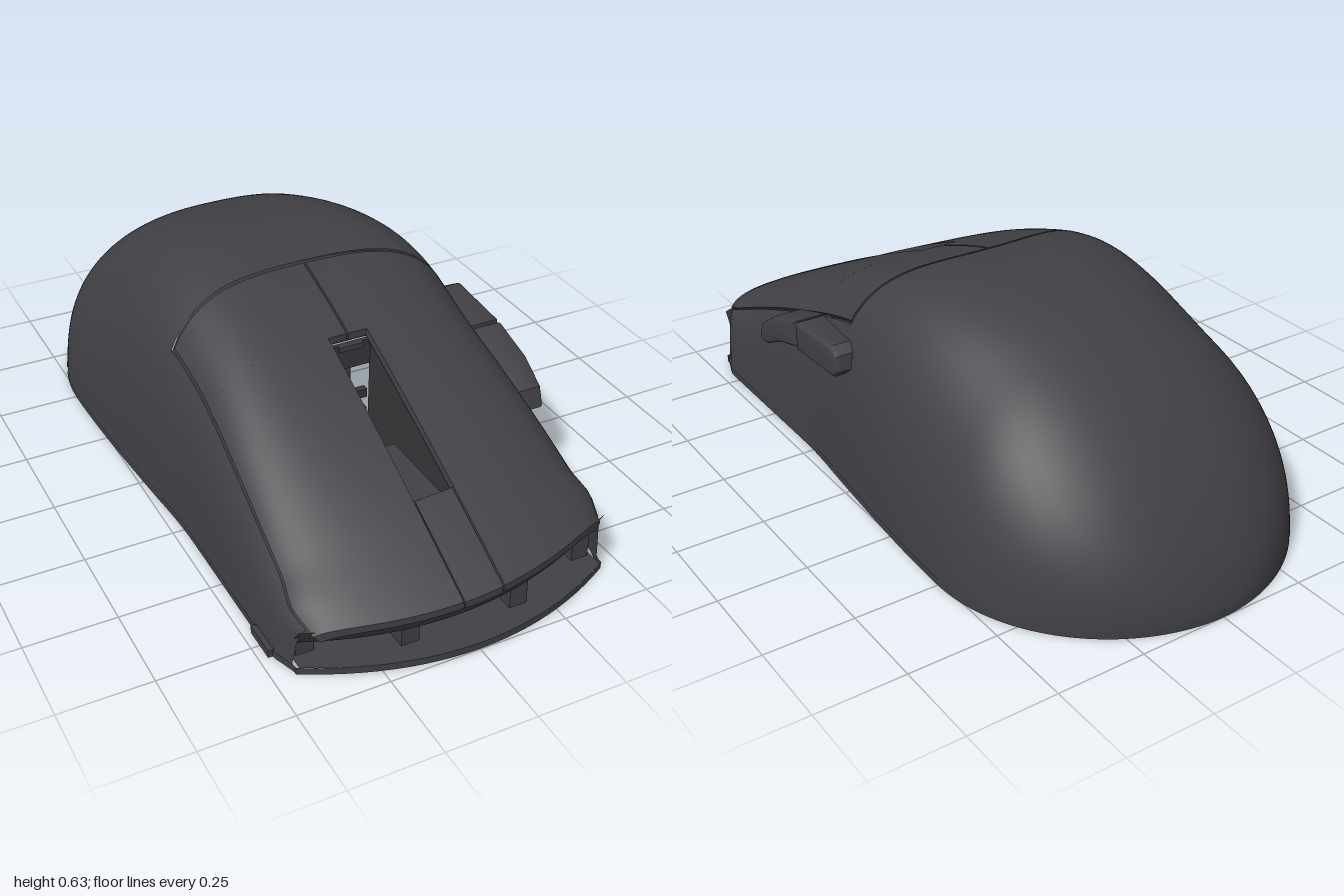
import * as THREE from 'three';
import { toCreasedNormals } from 'three/addons/utils/BufferGeometryUtils.js';

const { lerp, smoothstep } = THREE.MathUtils;
const SEAM = 0.72; // section angle of the line between side wall and main buttons

// Profiles along the length: height, half width, squareness of the section
const height = s => s < -0.15
  ? 0.63 * Math.pow(Math.max(0, 1 - ((-0.15 - s) / 0.85) ** 2), 0.667)
  : 0.63 - 0.581 * (s + 0.15) ** 2 / (s + 0.15 + 0.54);
const halfWidth = s => s < -0.5
  ? 0.512 * Math.pow(Math.max(0, 1 - ((-0.5 - s) / 0.5) ** 2), 0.52)
  : 0.512 - 0.046 * smoothstep(s, -0.5, 0.3) - 0.025 * smoothstep(s, 0.9, 1);
const squareness = s => 2.6 + 1.4 * smoothstep(s, -0.5, 0.05)
  + smoothstep(s, 0.05, 0.8) + 3 * smoothstep(s, 0.8, 1);

// Point on the outer skin at station s and section angle t, sunk inward by k
function skin(s, t, k = 0) {
  const c = Math.cos(t), n = squareness(s);
  const sn = Math.max(0, Math.sin(t));
  const r = Math.pow(Math.abs(c) ** n + sn ** n, -1 / n);
  const up = r * sn;
  const x = Math.max(0, halfWidth(s) - k) * r * c * (1 - 0.05 * up);
  const y = Math.max(0, height(s) - k) * up + 0.085 * x * up * smoothstep(s, 0.2, 1);
  const bend = s < 0.03 ? -0.07 * smoothstep(s, -0.6, 0.03) : lerp(-0.07, 0.13, (s - 0.03) / 0.97);
  return [x, y, s - bend * (x / 0.46) ** 2];
}

// Section angle at which the top of the skin lies at a given x
const angleAt = (s, x) => Math.atan2(1, x / halfWidth(s));

// Grid surface from fn(u, v, sunk); a skirt folds the rim inward
function grid(fn, nu, nv, skirt = 0, crease = 0) {
  const e = skirt ? 1 : 0, pos = [], idx = [], cols = nv + 1 + 2 * e;
  for (let i = -e; i <= nu + e; i++) for (let j = -e; j <= nv + e; j++) {
    const u = Math.min(Math.max(i, 0), nu), v = Math.min(Math.max(j, 0), nv);
    pos.push(...fn(u / nu, v / nv, u !== i || v !== j ? skirt : 0));
  }
  for (let i = 0; i < nu + 2 * e; i++) for (let j = 0; j < nv + 2 * e; j++) {
    const a = i * cols + j, b = a + cols;
    idx.push(a, b, a + 1, b, b + 1, a + 1);
  }
  const g = new THREE.BufferGeometry();
  g.setAttribute('position', new THREE.Float32BufferAttribute(pos, 3));
  g.setIndex(idx);
  if (crease) return toCreasedNormals(g, crease);
  g.computeVertexNormals();
  return g;
}

export function createModel() {
  const model = new THREE.Group();
  model.name = 'computerMouse';
  const shell = new THREE.MeshStandardMaterial({ name: 'charcoalShell', color: 0x414045, side: THREE.DoubleSide });
  const inner = new THREE.MeshStandardMaterial({ name: 'darkInterior', color: 0x37363a, side: THREE.DoubleSide });
  const under = new THREE.MeshStandardMaterial({ name: 'undersideGrey', color: 0x3d3c41 });
  const add = (name, geo, mat, x = 0, y = 0, z = 0) => {
    const m = new THREE.Mesh(geo, mat);
    m.name = name;
    m.position.set(x, y, z);
    model.add(m);
    return m;
  };
  const box = (name, w, h, d, mat, x, y, z) => add(name, new THREE.BoxGeometry(w, h, d), mat, x, y, z);

  // Palm hump, stations packed towards the rounded tail
  add('palmShell', grid((u, v) => skin(-1 + 1.026 * (1 - Math.cos(u * Math.PI / 2)), v * Math.PI), 56, 72), shell);

  for (const side of [1, -1]) {
    const label = side > 0 ? 'left' : 'right';
    const at = (s, t, k) => skin(s, side > 0 ? t : Math.PI - t, k);

    // Side wall below the seam
    add(label + 'SideWall', grid((u, v) => at(lerp(0.026, 0.975, u), v * (SEAM - 0.015)), 40, 16), shell);

    // Main button, notched for the wheel slot
    const split = 8, rows = 40;
    add(label + 'MainButton', grid((u, v, k) => {
      const i = Math.round(u * (rows + 1)), back = i <= split;
      const s = back ? lerp(0.036, 0.29, i / split) : lerp(0.29, 1, (i - split - 1) / (rows - split));
      return at(s, lerp(SEAM, angleAt(s, back ? 0.003 : 0.06), v), k);
    }, rows + 1, 24, 0.02, 0.6), shell);

    // Inner deck closing the gaps under the button
    for (const [s0, s1, x] of [[0, 0.29, 0], [0.29, 0.75, 0.06], [0.75, 0.97, 0]]) {
      add(label + 'InnerDeck', grid((u, v) => {
        const s = lerp(s0, s1, u);
        return at(s, lerp(SEAM - 0.15, angleAt(s, x), v), 0.022);
      }, 12, 10), inner);
    }

    // Wheel slot side wall
    add(label + 'SlotWall', grid((u, v) => {
      const s = lerp(0.3, 0.75, u);
      return [side * 0.062, lerp(0.2, height(s) - 0.012, v), s];
    }, 10, 1), inner);

    // Front posts between the base and the bumper
    for (const x of [0.155, 0.4]) {
      box(label + 'FrontPost', 0.05, 0.07, 0.05, shell, side * x, 0.055, 0.915 - 0.13 * (x / 0.46) ** 2);
    }
  }

  // Nose strip between the main buttons
  add('noseStrip', grid((u, v, k) => {
    const s = lerp(0.75, 1, u), a = angleAt(s, 0.056);
    return skin(s, lerp(a, Math.PI - a, v), k + 0.002);
  }, 8, 4, 0.02, 0.6), shell);

  // Wheel slot interior: ramp, end walls, axle post and brackets
  box('slotRamp', 0.122, 0.02, 0.3, shell, 0, 0.235, 0.6);
  box('slotFrontWall', 0.122, 0.06, 0.01, inner, 0, 0.265, 0.75);
  box('slotBackWall', 0.122, 0.075, 0.012, inner, 0, 0.455, 0.3);
  box('slotBackLip', 0.07, 0.015, 0.02, shell, 0, 0.485, 0.305);
  add('wheelPost', new THREE.CylinderGeometry(0.02, 0.02, 0.19, 20), shell, 0, 0.34, 0.27);
  for (const y of [0.255, 0.315]) box('wheelBracket', 0.122, 0.025, 0.02, inner, 0, y, 0.285);

  // Front bumper under the button tips, with the recess behind it
  const bumper = [[0, -0.005], [0.045, -0.035], [0.065, -0.05], [0.068, -0.12]];
  add('frontBumper', grid((u, v) => {
    const x = lerp(-0.435, 0.435, u), [dy, dz] = bumper[Math.round(v * 3)];
    return [x, 0.153 + 0.06 * x - dy, 1 + dz - 0.13 * (x / 0.46) ** 2];
  }, 32, 3, 0, 0.6), shell);
  add('frontRecess', grid((u, v) => {
    const x = lerp(-0.435, 0.435, u);
    return [x, lerp(0.01, 0.085 + 0.06 * x, v), 0.88 - 0.13 * (x / 0.46) ** 2];
  }, 32, 1), inner);

  // Base outline: up the left side, across the front, down the right side
  const outline = [];
  const station = i => -Math.cos(i / 60 * Math.PI);
  for (let i = 0; i <= 60; i++) outline.push(skin(station(i), 0));
  for (let i = 1; i < 24; i++) {
    const x = halfWidth(1) * (1 - i / 12);
    outline.push([x, 0, 1 - 0.13 * (x / 0.46) ** 2]);
  }
  for (let i = 60; i > 0; i--) outline.push(skin(station(i), Math.PI));
  const base = new THREE.ShapeGeometry(new THREE.Shape(outline.map(p => new THREE.Vector2(p[0], p[2]))));
  add('basePlate', base.rotateX(Math.PI / 2), under, 0, 0.004, 0);
  add('baseRim', grid((u, v) => {
    const p = outline[Math.round(u * outline.length) % outline.length];
    return [p[0] * 1.002, lerp(0.002, 0.022, v), p[2]];
  }, outline.length, 1), shell);
  // Narrow ledge along the front of the base
  add('baseLedge', grid((u, v) => {
    const x = lerp(-0.435, 0.435, u);
    return [x, 0.022, 1 - 0.13 * (x / 0.46) ** 2 - 0.12 * v];
  }, 24, 1), shell);

  // Underside sensor window and slit
  const disc = (name, g, mat, y, x, z) => add(name, g.rotateX(Math.PI / 2), mat, x, y, z);
  disc('sensorRing', new THREE.RingGeometry(0.05, 0.08, 32), under, 0.001, 0, 0.38);
  const dark = new THREE.MeshStandardMaterial({ name: 'sensorBlack', color: 0x242427 });
  disc('sensorWindow', new THREE.CircleGeometry(0.05, 32), dark, 0.002, 0, 0.38);
  disc('undersideSlit', new THREE.PlaneGeometry(0.03, 0.06), dark, 0.002, 0.14, -0.52);

  // Thumb buttons on the left side, given as (z, y) outlines
  const thumb = [
    ['frontThumbButton', [[0.49, 0.275], [0.475, 0.315], [0.4, 0.365], [0.28, 0.4], [0.275, 0.345], [0.38, 0.315], [0.46, 0.275]]],
    ['backThumbButton', [[0.25, 0.405], [0.06, 0.42], [0.035, 0.405], [0.03, 0.37], [0.05, 0.352], [0.25, 0.34]]],
  ];
  for (const [name, pts] of thumb) {
    const g = new THREE.ExtrudeGeometry(new THREE.Shape(pts.map(p => new THREE.Vector2(...p))),
      { depth: 0.09, bevelSize: 0.01, bevelThickness: 0.01, bevelSegments: 3 });
    add(name, toCreasedNormals(g.rotateY(-Math.PI / 2), 0.6), shell, 0.485, 0, 0);
  }

  // Small switch tab at the right front
  box('sideTab', 0.025, 0.022, 0.1, shell, -0.465, 0.013, 0.75);

  return model;
}
